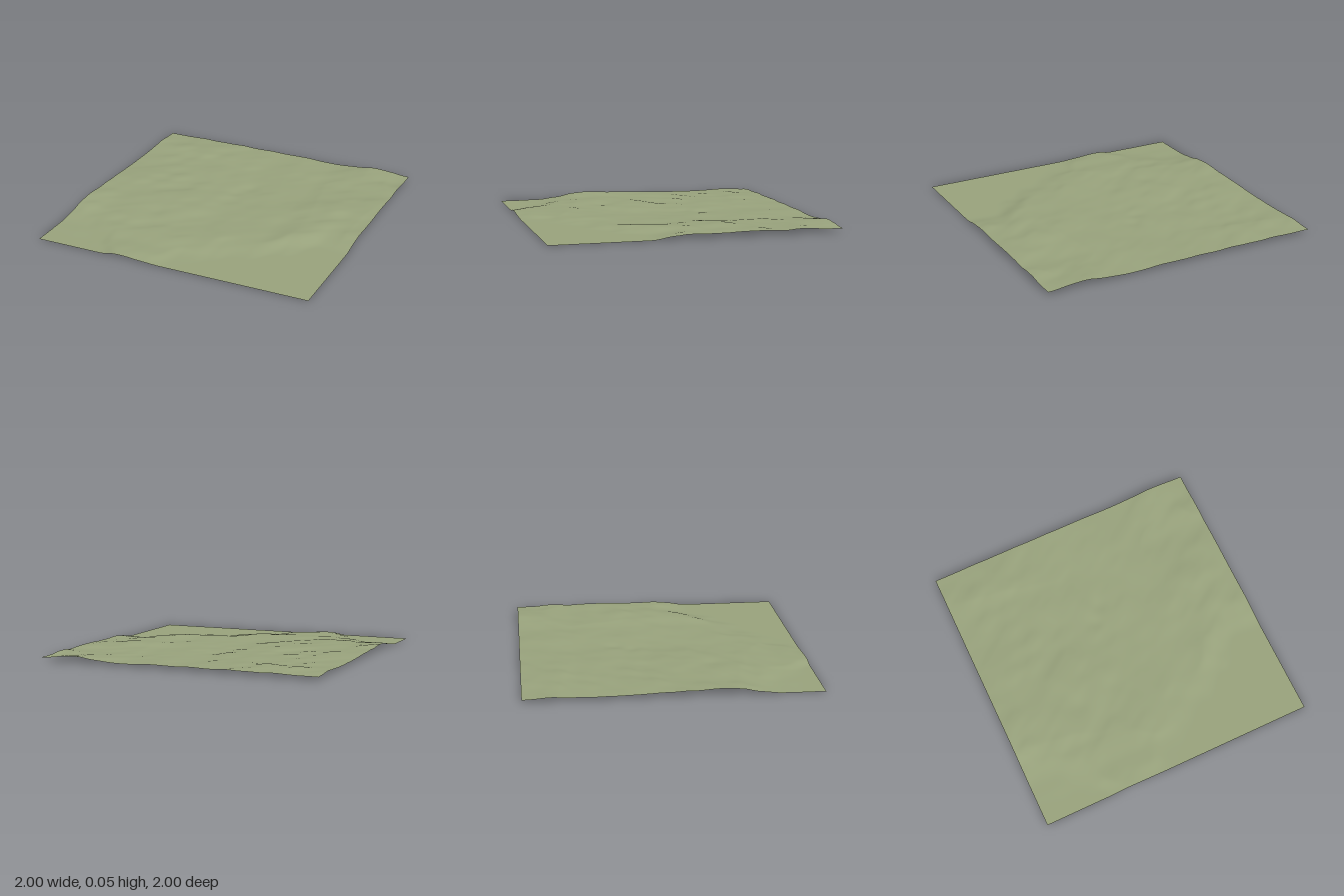
import * as THREE from 'three';

const clamp = THREE.MathUtils.clamp;

// Smooth interpolation through evenly spaced samples over -1..1
function sample(values, t) {
  const f = clamp((t + 1) / 2, 0, 1) * (values.length - 1);
  const i = Math.min(Math.floor(f), values.length - 2);
  const u = f - i, s = u * u * (3 - 2 * u);
  return values[i] * (1 - s) + values[i + 1] * s;
}

// Seeded smooth value noise in -1..1
function hash(i, j) {
  let n = Math.imul(i, 374761393) ^ Math.imul(j, 668265263) ^ 90217;
  n = Math.imul(n ^ (n >>> 13), 1274126177);
  return ((n ^ (n >>> 16)) >>> 0) / 2147483647.5 - 1;
}
function noise(x, z) {
  const i = Math.floor(x), j = Math.floor(z);
  const u = x - i, v = z - j;
  const s = u * u * u * (u * (6 * u - 15) + 10), t = v * v * v * (v * (6 * v - 15) + 10);
  const a = hash(i, j) * (1 - s) + hash(i + 1, j) * s;
  const b = hash(i, j + 1) * (1 - s) + hash(i + 1, j + 1) * s;
  return a * (1 - t) + b * t;
}

// Highest ground along x and along z, and where the land meets the flat shore
const crestX = [0.05, 0.047, 0.044, 0.038, 0.035, 0.025, 0.029, 0.028, 0.045, 0.055, 0.037];
const crestZ = [0.05, 0.05, 0.034, 0.039, 0.043, 0.045, 0.045, 0.05, 0.036, 0.022, 0.024];
const shore = [0.8, 0.86, 0.95, 1.25, 1.15, 0.98, 0.76, 0.7, 0.5, 0.36, 0.38];

// Hills and hollows: x, z, radius, height
const bumps = [
  [-1, 0.36, 0.14, 0.008], [0.75, -0.93, 0.14, 0.009], [-0.36, 0.95, 0.14, 0.006],
  [-1, -1, 0.22, -0.02], [-0.1, -0.36, 0.08, 0.007], [0, -0.32, 0.06, -0.008],
  [-0.07, -0.2, 0.05, -0.006], [-0.44, 0.32, 0.06, -0.006], [-0.15, 0.28, 0.08, -0.006],
  [0.85, -0.08, 0.1, -0.009], [0.72, -0.18, 0.1, 0.006], [0.88, -0.8, 0.1, -0.008],
  [0.1, 0.58, 0.12, 0.005], [-0.85, 0.62, 0.16, -0.01], [0.02, 0.85, 0.09, -0.005],
];

function height(x, z) {
  const cap = Math.min(sample(crestX, x), sample(crestZ, z));
  // Ridges run along a diagonal, with finer ripples on top
  const p = x * 0.8 - z * 0.6, q = x * 0.6 + z * 0.8;
  const n = 0.65 * noise(p * 3.2 + 9, q * 5 + 4) + 0.35 * noise(p * 7 + 31, q * 11 + 17);
  let h = cap * (0.77 + 0.26 * n);
  for (const [bx, bz, r, a] of bumps) {
    h += a * Math.exp(-((x - bx) ** 2 + (z - bz) ** 2) / (r * r));
  }
  const coast = sample(shore, x) + 0.06 * noise(x * 6 + 3, z * 6);
  const land = THREE.MathUtils.smoothstep(coast - z, 0, 0.3);
  return clamp(h * land, 0, 0.055);
}

export function createModel() {
  const group = new THREE.Group();
  group.name = 'landscape';

  const grass = new THREE.MeshStandardMaterial({ color: 0x98a27c, side: THREE.DoubleSide });
  grass.name = 'olive grass';

  // Ground sheet raised into low rolling hills
  const geometry = new THREE.PlaneGeometry(2, 2, 160, 160).rotateX(-Math.PI / 2);
  const pos = geometry.attributes.position;
  for (let i = 0; i < pos.count; i++) pos.setY(i, height(pos.getX(i), pos.getZ(i)));
  geometry.computeVertexNormals();

  const terrain = new THREE.Mesh(geometry, grass);
  terrain.name = 'terrain';
  group.add(terrain);
  return group;
}
